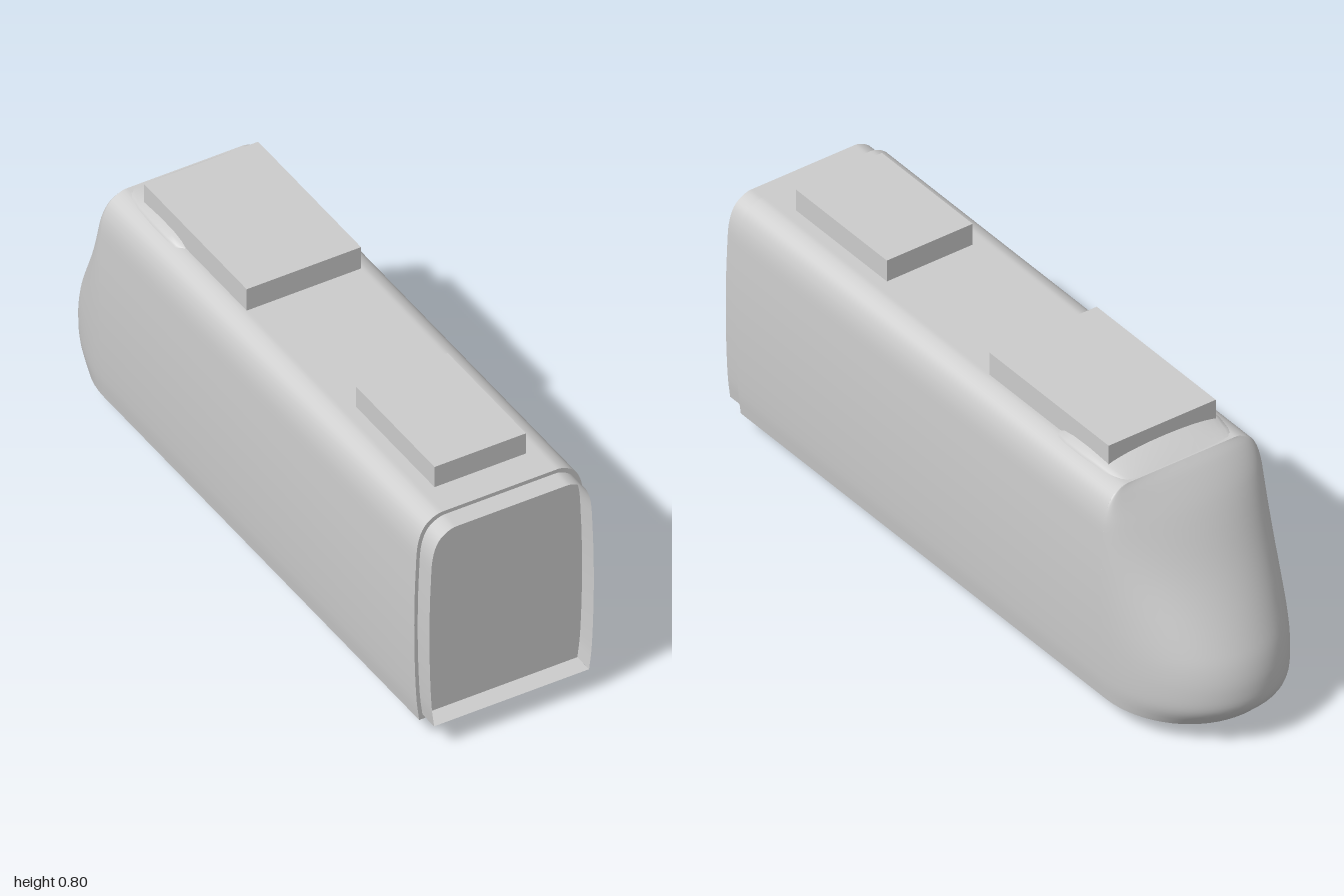
import * as THREE from 'three';

const FRONT = 0.94, NOSE = -0.67, FLOOR = 0.06, ROOF = 0.725;

// Smooth surface through rows of points; it faces (row direction) x (column direction)
function loft(rows) {
  const n = rows[0].length, index = [];
  for (let i = 0; i < rows.length - 1; i++) {
    for (let j = 0; j < n - 1; j++) {
      const a = i * n + j, b = a + 1, c = a + n, d = c + 1;
      index.push(a, c, b, b, c, d);
    }
  }
  const g = new THREE.BufferGeometry();
  g.setAttribute('position', new THREE.Float32BufferAttribute(rows.flat(2), 3));
  g.setIndex(index);
  g.computeVertexNormals();
  return g;
}

export function createModel() {
  const model = new THREE.Group();
  model.name = 'trainCar';
  const grey = new THREE.MeshStandardMaterial({ color: 0xcccccc, side: THREE.DoubleSide });
  grey.name = 'plainGrey';
  const add = (name, geometry, x = 0, y = 0, z = 0) => {
    const m = new THREE.Mesh(geometry, grey);
    m.name = name;
    m.position.set(x, y, z);
    model.add(m);
    return m;
  };

  // Body cross-section: left half from floor to roof, then mirrored
  const half = new THREE.CatmullRomCurve3([
    [0.247, FLOOR], [0.255, 0.13], [0.262, 0.34], [0.258, 0.55], [0.249, 0.655],
    [0.228, 0.7], [0.19, 0.723], [0.15, ROOF], [0, ROOF],
  ].map(([x, y]) => new THREE.Vector3(x, y, 0))).getPoints(40).map(p => [p.x, Math.min(p.y, ROOF)]);
  const section = [...half, ...half.slice(0, -1).reverse().map(([x, y]) => [-x, y])];

  // Body shell, floor and end wall
  add('bodyShell', loft([FRONT, NOSE].map(z => section.map(([x, y]) => [x, y, z]))));
  add('bodyFloor', loft([FRONT, NOSE].map(z => [[-0.247, FLOOR, z], [0.247, FLOOR, z]])));
  add('endWall', new THREE.ShapeGeometry(
    new THREE.Shape(section.map(([x, y]) => new THREE.Vector2(x, y)))), 0, 0, FRONT);

  // Open gangway collar around the end wall
  const collar = section.map(([x, y]) => [x * 0.96, 0.075 + (y - FLOOR) * 0.96]);
  add('collarShell', loft([1, FRONT].map(z => collar.map(([x, y]) => [x, y, z]))));
  add('collarFloor', loft([1, FRONT].map(z => [[-0.237, 0.075, z], [0.237, 0.075, z]])));

  // Streamlined nose: half ellipses stacked along the side profile
  const widthAt = y => {
    const i = Math.max(1, half.findIndex(p => p[1] >= y - 1e-6));
    const [x0, y0] = half[i - 1], [x1, y1] = half[i];
    return THREE.MathUtils.lerp(x0, x1, THREE.MathUtils.clamp((y - y0) / (y1 - y0 || 1), 0, 1));
  };
  const profile = new THREE.CatmullRomCurve3([
    [-0.67, ROOF], [-0.7, 0.695], [-0.76, 0.62], [-0.85, 0.475], [-0.95, 0.315], [-0.985, 0.245],
    [-1, 0.18], [-0.995, 0.12], [-0.94, FLOOR],
  ].map(([z, y]) => new THREE.Vector3(0, y, z))).getPoints(36);
  const noseRows = profile.map(p => {
    const y = THREE.MathUtils.clamp(p.y, FLOOR, ROOF), w = widthAt(y), depth = NOSE - p.z;
    return Array.from({ length: 33 }, (_, j) => {
      const t = Math.PI * j / 32;
      return [w * Math.cos(t), y, NOSE - depth * Math.sin(t)];
    });
  });
  add('nose', loft(noseRows));
  const rim = noseRows[noseRows.length - 1];
  add('noseFloor', loft([rim, rim.map(([x, y]) => [x, y, NOSE])]));

  // Low roof fairing: arches of z, half width and height
  add('roofFairing', loft([
    [-0.36, 0.17, 0], [-0.39, 0.195, 0.026], [-0.43, 0.2, 0.037], [-0.5, 0.2, 0.04],
    [-0.58, 0.195, 0.032], [-0.63, 0.185, 0.018], [-0.67, 0.17, 0],
  ].map(([z, w, h]) => Array.from({ length: 17 }, (_, j) => {
    const t = Math.PI * j / 16;
    return [w * Math.cos(t), 0.723 + h * Math.sin(t), z];
  }))));

  // Roof equipment boxes
  add('rearRoofBox', new THREE.BoxGeometry(0.35, 0.08, 0.525), 0, 0.756, -0.3225);
  add('frontRoofBox', new THREE.BoxGeometry(0.28, 0.08, 0.4), 0, 0.752, 0.64);

  // Wheels sunk into the floor
  for (const x of [-0.165, 0.165]) {
    for (const z of [-0.035, 0.36]) {
      add('wheel', new THREE.CylinderGeometry(0.06, 0.06, 0.022, 8), x, 0.06, z).rotation.z = Math.PI / 2;
    }
  }
  return model;
}
